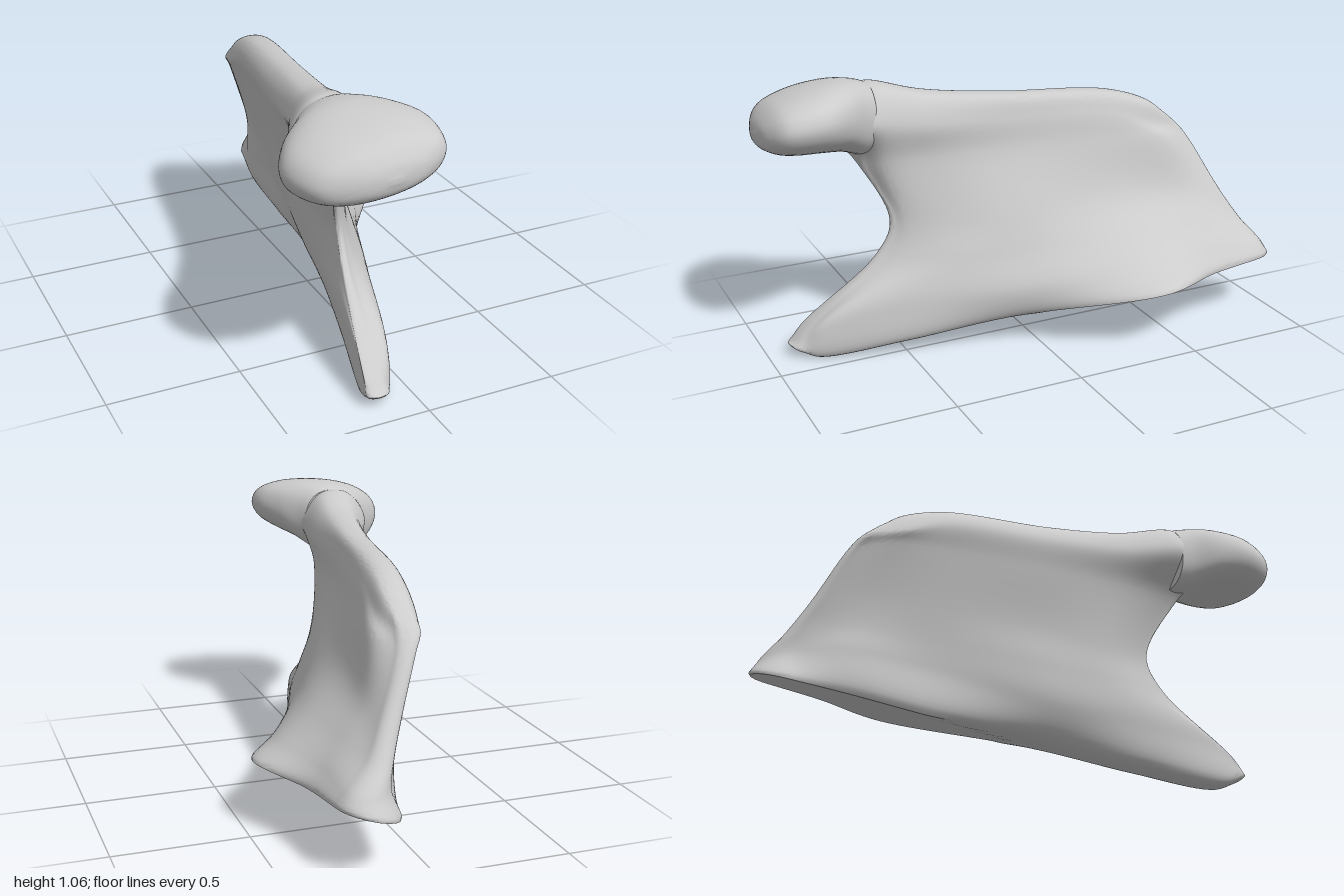
import * as THREE from 'three';
import { toCreasedNormals } from 'three/addons/utils/BufferGeometryUtils.js';

const V = (x, y, z) => new THREE.Vector3(x, y, z);

// Rails of the blade from bottom to top; each row is [z, y, inner x, outer x], front to back
const bottom = [[.88, .03, -.18, -.095], [.82, .01, -.17, -.07], [.5, .055, -.08, .03], [.1, .12, .02, .14],
  [-.38, .1, .05, .455], [-.68, .1, .06, .345], [-.885, .15, .09, .315]];
const low = [[.865, .095, -.185, -.11], [.8, .14, -.175, -.06], [.46, .2, -.12, .05], [.1, .23, -.06, .175],
  [-.38, .3, .02, .365], [-.7, .31, .04, .3], [-.89, .29, .12, .29]];
const lowMid = [[.56, .36, -.125, -.09], [.5, .36, -.125, -.04], [.32, .37, -.115, .05], [.06, .38, -.08, .13],
  [-.38, .41, .0, .23], [-.68, .41, .035, .22], [-.86, .38, .1, .2]];
const mid = [[.495, .5, -.12, -.09], [.46, .5, -.12, -.06], [.3, .5, -.12, .01], [.05, .52, -.09, .08],
  [-.38, .54, -.03, .12], [-.66, .52, .01, .14], [-.8, .5, .05, .13]];
const high = [[.585, .73, -.2, -.15], [.53, .74, -.2, -.09], [.35, .75, -.18, -.05], [.05, .75, -.15, -.005],
  [-.38, .75, -.09, .06], [-.6, .73, -.07, .08], [-.71, .7, -.035, .04]];
const shoulder = [[.59, .9, -.33, -.05], [.54, .9, -.32, -.05], [.35, .88, -.24, -.04], [.05, .87, -.18, -.02],
  [-.38, .85, -.12, .035], [-.55, .79, -.1, .05], [-.66, .76, -.07, .025]];
const ridge = [[.59, 1.02, -.25, -.13], [.54, 1.025, -.24, -.12], [.35, .98, -.19, -.09], [.05, .95, -.13, -.05],
  [-.38, .92, -.08, .0], [-.55, .865, -.06, .02], [-.63, .81, -.05, .01]];

// Head sections: [z, centre x, centre y, half width, half height]
const headSections = [[1, -.15, .9, .01, .005], [.985, -.15, .903, .12, .05], [.94, -.165, .912, .22, .09],
  [.88, -.175, .918, .256, .11], [.78, -.187, .925, .267, .126], [.68, -.195, .922, .22, .138],
  [.6, -.193, .905, .155, .145], [.56, -.193, .9, .13, .135]];

// Slanting flat plane that trims the rear underside of the blade, dropping away in front
const facetHeight = (x, z) => .088 + .274 * x - .0716 * z - .4 * Math.max(0, z);

// Smooth surface through rings of control points; bulge 1 gives rounded end caps, 0 flat ones
function loft(rings, along, around, bulge, adjust) {
  const n = rings[0].length;
  const rails = rings[0].map((_, j) => new THREE.CatmullRomCurve3(rings.map(r => r[j])));
  const rows = [];
  for (let i = 0; i <= along; i++) {
    const loop = new THREE.CatmullRomCurve3(rails.map(r => r.getPoint(i / along)), true);
    const row = [];
    for (let j = 0; j <= around; j++) row.push(loop.getPoint((j / around - .5 / n + 1) % 1));
    rows.push(row);
  }
  // Each cap swings the end ring round to its middle line in a half circle
  const fold = row => row.map((p, j) => p.clone().lerp(row[around - j], .5));
  const cap = (end, next) => {
    const middle = fold(end), behind = fold(next);
    return [1, 2, 3, 4, 5].map(k => {
      const angle = k / 5 * Math.PI / 2;
      return end.map((p, j) => {
        const reach = bulge * p.distanceTo(middle[j]) * Math.sin(angle);
        const out = middle[j].clone().sub(behind[j]).setLength(reach);
        return middle[j].clone().lerp(p, Math.cos(angle)).add(out);
      });
    });
  };
  const front = cap(rows[0], rows[1]).reverse();
  const back = cap(rows[along], rows[along - 1]);
  const all = [...front, ...rows, ...back];

  const index = [], w = around + 1;
  for (let i = 0; i < all.length - 1; i++) {
    for (let j = 0; j < around; j++) {
      const a = i * w + j, c = a + w;
      index.push(a, a + 1, c, a + 1, c + 1, c);
    }
  }
  const geo = new THREE.BufferGeometry().setFromPoints(all.flat().map(adjust));
  geo.setIndex(index);
  return toCreasedNormals(geo, .9);
}

export function createModel() {
  const group = new THREE.Group();
  const material = new THREE.MeshStandardMaterial({ color: 0xcccccc });
  const add = (name, geo) => {
    const mesh = new THREE.Mesh(geo, material);
    mesh.name = name;
    group.add(mesh);
  };

  // Blade: inner side upwards, outer side back down
  const levels = [bottom, low, lowMid, mid, high, shoulder, ridge];
  const onBlade = (x, y, z) => V(x, Math.max(y, facetHeight(x, z), 0), z);
  const bladeRings = bottom.map((_, i) => {
    const inner = levels.map(l => onBlade(l[i][2], l[i][1], l[i][0]));
    const outer = levels.map(l => onBlade(l[i][3], l[i][1], l[i][0])).reverse();
    return [...inner, ...outer];
  });
  add('blade', loft(bladeRings, 72, 112, 1, p => onBlade(p.x, p.y, p.z)));

  // Rounded head, slightly tilted, set on the neck of the blade
  const full = v => Math.sign(v) * Math.abs(v) ** .88;
  const headRings = headSections.map(([z, cx, cy, rx, ry]) =>
    Array.from({ length: 14 }, (_, k) => {
      const a = (k + .5) / 14 * Math.PI * 2;
      const dx = -full(Math.sin(a)) * rx;
      return V(cx + dx, cy - full(Math.cos(a)) * ry + .13 * dx, z);
    }));
  add('head', loft(headRings, 40, 56, 0, p => p));

  return group;
}
